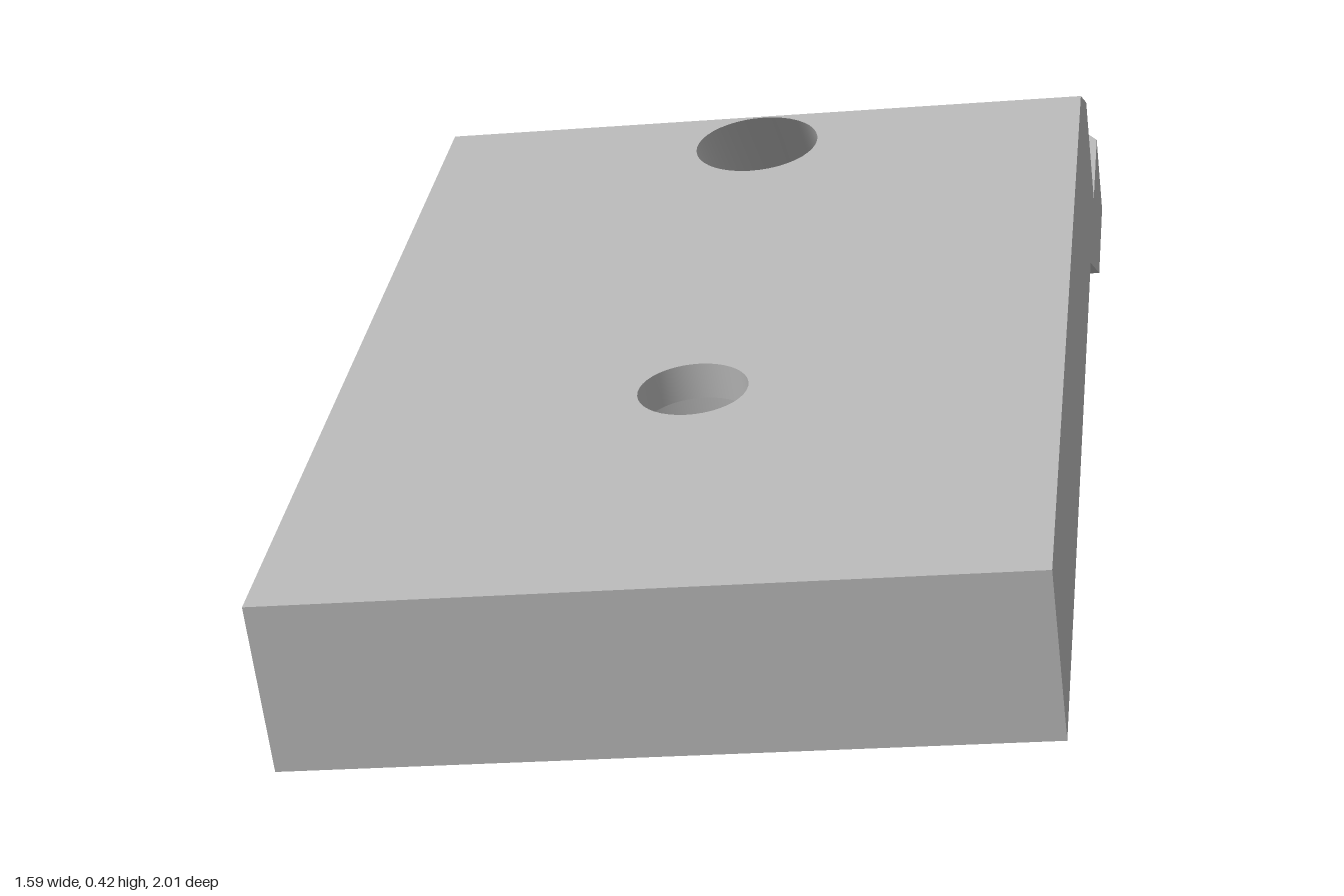
import * as THREE from 'three';
import { toCreasedNormals } from 'three/addons/utils/BufferGeometryUtils.js';

// Local frame: x across the block, y = s along its length, z = h through its thickness.
const SEG = 40;
const lerp = THREE.MathUtils.mapLinear;
const topH = s => s < 1.33 ? 0.217 : s < 1.77 ? lerp(s, 1.33, 1.77, 0.217, 0) : lerp(s, 1.77, 1.8, 0, -0.02);
const botH = s => s < 1.24 ? 0 : s < 1.45 ? lerp(s, 1.24, 1.45, 0, -0.115) : -0.115;
const mirror = pts => pts.map(([x, ...rest]) => [-x, ...rest]).reverse();

// A closed loop of points in the plan; h may be a number or a function of s
const ring = (cx, cs, r, h, rs = r) => a => {
  const s = cs + rs * Math.sin(a);
  return [cx + r * Math.cos(a), s, typeof h === 'function' ? h(s) : h];
};
const loop = fn => Array.from({ length: SEG }, (_, i) => fn((i / SEG) * Math.PI * 2));
const disc = (cx, cs, r, rs = r) => loop(ring(cx, cs, r, 0, rs));

export function createModel() {
  const metal = new THREE.MeshStandardMaterial({ color: 0xb8b8b8 });
  const block = new THREE.Group();
  block.name = 'mountingBlock';

  const add = (name, geometry) => {
    const mesh = new THREE.Mesh(geometry, metal);
    mesh.name = name;
    block.add(mesh);
  };

  // Flat face with holes, placed by a rule
  const sheet = (name, outline, holes, place, flip = false) => {
    const v2 = pts => pts.map(p => new THREE.Vector2(p[0], p[1]));
    const shape = new THREE.Shape(v2(outline));
    holes.forEach(h => shape.holes.push(new THREE.Path(v2(h))));
    const g = new THREE.ShapeGeometry(shape);
    const p = g.attributes.position;
    for (let i = 0; i < p.count; i++) p.setXYZ(i, ...place(p.getX(i), p.getY(i)));
    if (flip) g.index.array.reverse();
    g.computeVertexNormals();
    add(name, g);
  };

  // Upright wall along a path of [x, s, high]
  const wall = (name, path, low = botH) => {
    const pos = [];
    for (let i = 0; i + 1 < path.length; i++) {
      const [x0, s0, h0 = topH(s0)] = path[i];
      const [x1, s1, h1 = topH(s1)] = path[i + 1];
      if (x0 === x1 && s0 === s1) continue;
      const a = [x0, s0, low(s0)], b = [x1, s1, low(s1)], c = [x1, s1, h1], d = [x0, s0, h0];
      pos.push(...a, ...b, ...c, ...a, ...c, ...d);
    }
    const g = new THREE.BufferGeometry();
    g.setAttribute('position', new THREE.Float32BufferAttribute(pos, 3));
    g.computeVertexNormals();
    add(name, toCreasedNormals(g, 0.7));
  };

  // Inward-facing bore through successive rings, each band smooth around
  const bore = (name, rings) => {
    for (let k = 0; k + 1 < rings.length; k++) {
      const pos = [...loop(rings[k]), ...loop(rings[k + 1])].flat();
      const idx = [];
      for (let j = 0; j < SEG; j++) {
        const n = (j + 1) % SEG;
        idx.push(j, n, j + SEG, n, n + SEG, j + SEG);
      }
      const g = new THREE.BufferGeometry();
      g.setAttribute('position', new THREE.Float32BufferAttribute(pos, 3));
      g.setIndex(idx);
      g.computeVertexNormals();
      add(name, g);
    }
  };

  const onTop = (x, s) => [x, s, topH(s)];
  const onBottom = (x, s) => [x, s, botH(s)];

  // Outlines of one half
  const pocket = [[0.45, 1.46], [0.443, 1.485], [0.428, 1.502], [0.37, 1.515], [0.33, 1.528],
    [0.307, 1.548], [0.295, 1.58], [0.295, 1.77]];
  const slot = [[0.12, 1.69], [0.117, 1.679], [0.108, 1.669], [0.09, 1.665]];

  // Main slab top, underside and the ramp down to the foot
  const W = 0.45;
  const band = (s0, s1) => [[-W, s0], [W, s0], [W, s1], [-W, s1]];
  sheet('slabTop', band(0, 1.33), [disc(0, 0.48, 0.068), disc(0, 1.232, 0.085, 0.094)], onTop);
  sheet('slabUnderside', band(0, 1.24), [disc(0, 0.48, 0.145)], onBottom, true);
  sheet('footRamp', band(1.24, 1.45), [], onBottom, true);

  // Sloped rear face and foot underside
  const slope = [[W, 1.33], ...pocket, [0.12, 1.77], ...slot];
  sheet('rearSlope', [...slope, ...mirror(slope)], [-0.18, 0.18].map(x => disc(x, 1.463, 0.12)), onTop);
  const foot = [[W, 1.45], [W, 1.68], [0.385, 1.8], [0.12, 1.8], ...slot];
  sheet('footUnderside', [...foot, ...mirror(foot)],
    [-0.18, 0.18].map(x => disc(x, 1.463, 0.047)).concat([-0.38, 0.38].map(x => disc(x, 1.622, 0.048))),
    onBottom, true);

  // Outer walls
  wall('frontWall', [[-W, 0], [W, 0]]);
  const side = [[W, 0], [W, 1.24], [W, 1.33], [W, 1.45], [W, 1.46], [W, 1.46, 0], [W, 1.68, 0],
    [0.4, 1.77, 0], [0.385, 1.8], [0.12, 1.8], [0.12, 1.77], ...slot];
  wall('sideWall', side);
  wall('sideWall', mirror(side));

  // Corner pockets, end lips and their holes
  const floor = [...pocket, [0.4, 1.77], [W, 1.68]];
  const lip = [[0.12, 1.77], [0.4, 1.77], [0.385, 1.8], [0.12, 1.8]];
  for (const m of [1, -1]) {
    const half = pts => m > 0 ? pts : mirror(pts);
    wall('pocketWall', half(pocket), () => 0);
    sheet('pocketFloor', half(floor), [disc(0.38 * m, 1.622, 0.048)], (x, s) => [x, s, 0]);
    sheet('endLip', half(lip), [], onTop);
    bore('cornerHole', [ring(0.38 * m, 1.622, 0.048, 0), ring(0.38 * m, 1.622, 0.048, -0.115)]);

    // Counterbored screw holes
    const cb = (r, h) => ring(0.18 * m, 1.463, r, h);
    bore('screwHole', [cb(0.12, topH), cb(0.095, s => topH(s) - 0.04), cb(0.095, -0.01),
      cb(0.047, -0.01), cb(0.047, -0.115)]);
  }

  // Stepped hole through the slab
  const fh = (r, h) => ring(0, 0.48, r, h);
  bore('slabHole', [fh(0.068, 0.217), fh(0.068, 0.17), fh(0.125, 0.17), fh(0.125, 0.015), fh(0.145, 0)]);

  // Slanted blind hole at the ridge
  bore('slantedHole', [ring(0, 1.232, 0.085, 0.217, 0.094), ring(0, 1.362, 0.085, 0.07, 0.094),
    ring(0, 1.362, 0, 0.07)]);

  // Slot end wall with a small hole
  const hi = topH(1.665);
  sheet('slotEndWall', [[-0.09, -0.115], [0.09, -0.115], [0.09, hi], [-0.09, hi]],
    [disc(0, 0.005, 0.03)], (u, v) => [-u, 1.665, v]);
  const drain = (s, r) => a => [-r * Math.cos(a), s, 0.005 + r * Math.sin(a)];
  bore('slotHole', [drain(1.665, 0.03), drain(1.46, 0.03), drain(1.46, 0)]);

  // Turn and tilt the block into place
  const V = new THREE.Vector3(0.878, 0.106, -0.467).normalize();
  const N = V.clone().cross(new THREE.Vector3(-0.469, 0.064, -0.881)).normalize();
  const U = N.clone().cross(V);
  block.quaternion.setFromRotationMatrix(new THREE.Matrix4().makeBasis(V, U, N));
  block.position.set(0.395, 0.069, 0.768);

  const model = new THREE.Group();
  model.name = 'model';
  model.add(block);
  return model;
}
